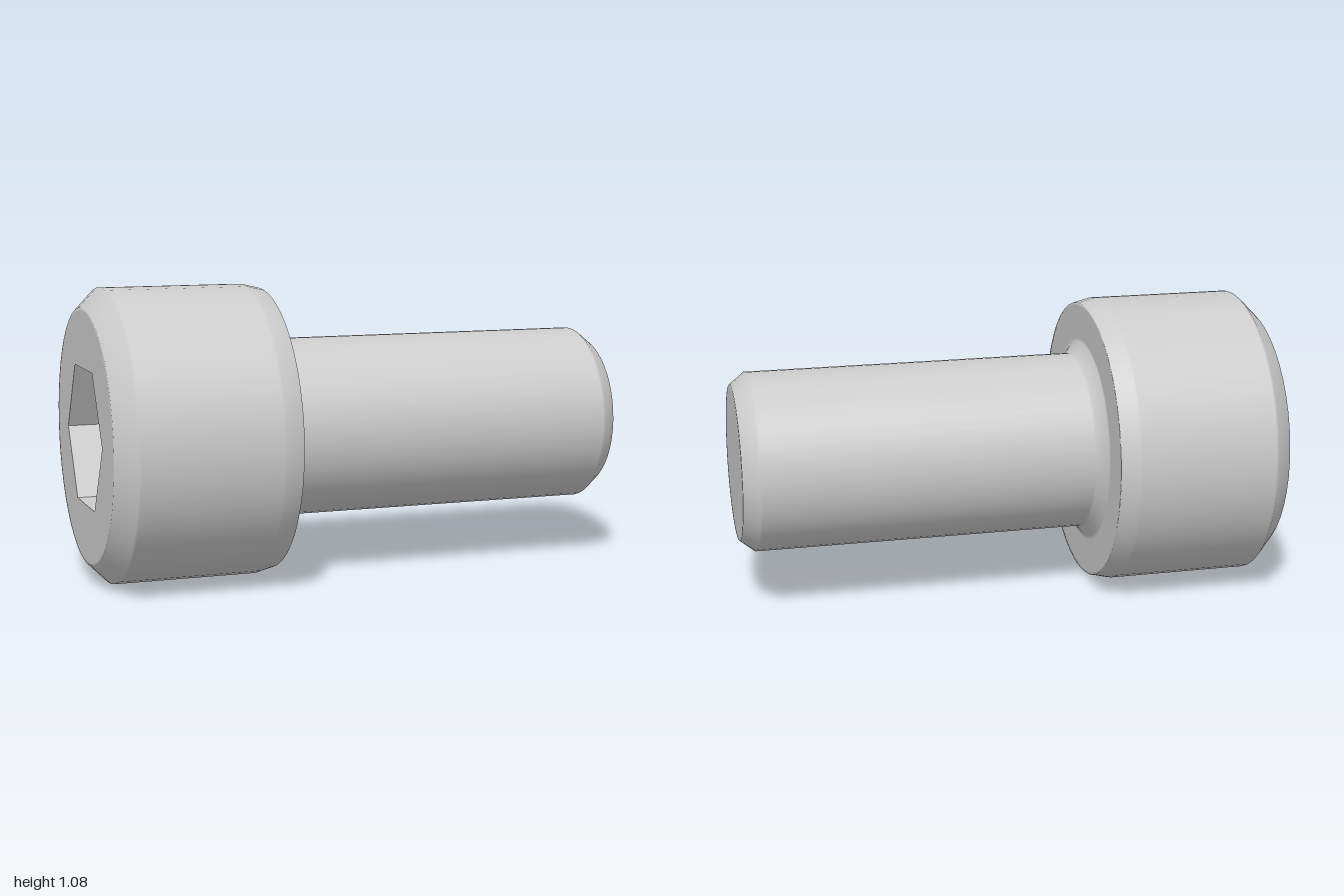
import * as THREE from 'three';

const SEG = 48;          // sides of the round parts
const R_FACE = 0.47;     // flat top of the head
const R_HEX = 0.289;     // socket, centre to corner
const DEPTH = 0.333;     // socket depth
const UNDER = -0.333;    // underside of the head

const material = new THREE.MeshStandardMaterial({ color: 0xcccccc });

function addMesh(group, name, geometry) {
  const mesh = new THREE.Mesh(geometry, material);
  mesh.name = name;
  group.add(mesh);
}

// Round solid about the y axis from [radius, height] pairs
const lathe = (pairs) =>
  new THREE.LatheGeometry(pairs.map(([r, y]) => new THREE.Vector2(r, y)), SEG);

// Corner points of a regular polygon, first corner on the second axis
const ring = (radius, n) => Array.from({ length: n }, (_, i) => {
  const a = (i / n) * Math.PI * 2;
  return new THREE.Vector2(radius * Math.sin(a), radius * Math.cos(a));
});

export function createModel() {
  const screw = new THREE.Group();
  screw.name = 'socketHeadScrew';

  // Head side; closely spaced points keep the flats flat beside soft chamfers
  addMesh(screw, 'head', lathe([
    [R_FACE - 0.01, -1], [R_FACE, -1],
    [0.541, -0.93], [0.541, -0.92],
    [0.541, -0.41], [0.541, -0.4],
    [0.525, UNDER], [0.515, UNDER],
    [0.39, UNDER],
  ]));

  // Flat top with a hexagonal opening
  const face = new THREE.Shape(ring(R_FACE - 0.01, SEG));
  face.holes.push(new THREE.Path(ring(R_HEX, 6)));
  addMesh(screw, 'headFace', new THREE.ShapeGeometry(face).rotateX(Math.PI / 2).translate(0, -1, 0));

  // Socket walls, mirrored so that they face inward, with flat facets
  const walls = new THREE.CylinderGeometry(R_HEX, R_HEX, DEPTH, 6, 1, true)
    .scale(-1, 1, 1).translate(0, -1 + DEPTH / 2, 0).toNonIndexed();
  walls.computeVertexNormals();
  addMesh(screw, 'socketWalls', walls);

  const floor = new THREE.CircleGeometry(R_HEX, 6, Math.PI / 2)
    .rotateX(Math.PI / 2).translate(0, -1 + DEPTH, 0);
  addMesh(screw, 'socketFloor', floor);

  // Shank with a fillet under the head and a chamfered tip
  addMesh(screw, 'shank', lathe([
    [0.39, UNDER], [0.375, UNDER],
    [0.333, -0.3], [0.333, -0.29],
    [0.333, 0.935], [0.333, 0.945],
    [0.29, 1], [0.28, 1], [0, 1],
  ]));

  // Lay the screw along x, head to the right-hand side, resting on the ground
  screw.rotation.z = -Math.PI / 2;
  screw.position.y = 0.541;
  const model = new THREE.Group();
  model.name = 'screwModel';
  model.add(screw);
  return model;
}
